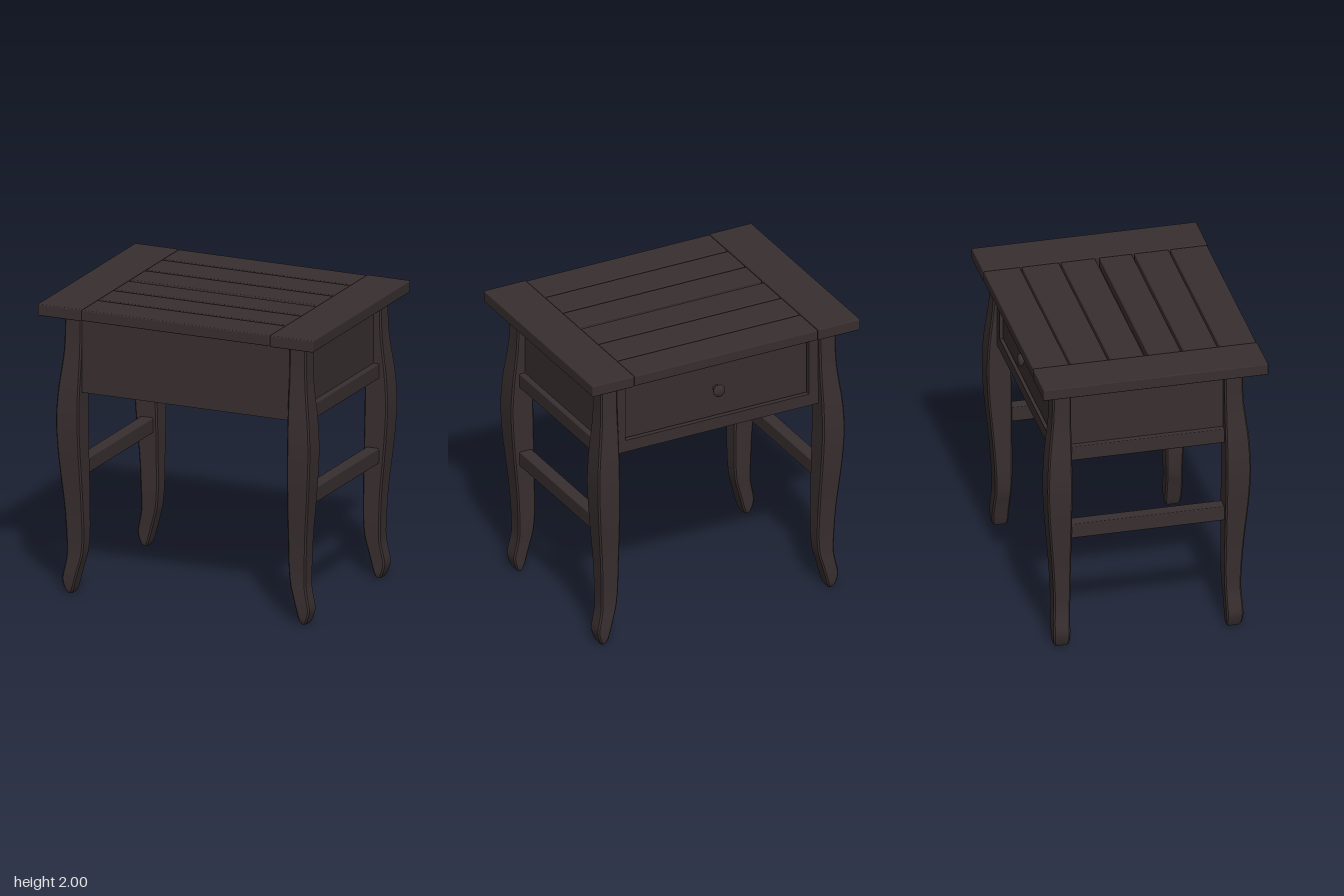
import * as THREE from 'three';
import { toCreasedNormals } from 'three/addons/utils/BufferGeometryUtils.js';
import { RoundedBoxGeometry } from 'three/addons/geometries/RoundedBoxGeometry.js';

const wood = new THREE.MeshStandardMaterial({ color: 0x382e2f });
wood.name = 'darkStainedWood';

// The leg frame sits slightly off the centre of the top.
const CX = 0.008, CZ = -0.025;

// Leg profile rows: height, inner x, outer x, inner z, outer z (from frame centre).
const LEG = [
  [1.92, 0.750, 0.872, 0.518, 0.640],
  [1.70, 0.750, 0.875, 0.518, 0.645],
  [1.55, 0.750, 0.888, 0.518, 0.660],
  [1.40, 0.752, 0.906, 0.518, 0.676],
  [1.20, 0.752, 0.917, 0.518, 0.685],
  [1.00, 0.748, 0.909, 0.518, 0.679],
  [0.80, 0.743, 0.893, 0.518, 0.663],
  [0.60, 0.740, 0.875, 0.518, 0.646],
  [0.40, 0.739, 0.866, 0.518, 0.634],
  [0.27, 0.750, 0.864, 0.522, 0.632],
  [0.19, 0.771, 0.876, 0.525, 0.637],
  [0.10, 0.795, 0.893, 0.527, 0.640],
  [0.03, 0.814, 0.876, 0.528, 0.636],
  [0.00, 0.826, 0.862, 0.536, 0.624],
];

function legGeometry(sx, sz) {
  const columns = [1, 2, 3, 4].map(
    (c) => new THREE.SplineCurve(LEG.map((r) => new THREE.Vector2(r[c], r[0]))));
  const steps = 39, chamfer = 0.01, pos = [], index = [];
  for (let i = 0; i <= steps; i++) {
    const p = columns.map((c) => c.getPoint(i / steps));
    const y = Math.max(0, p[0].y);
    const [x0, x1, z0, z1] = p.map((v) => v.x);
    const c = chamfer;
    // Square section with cut corners
    const ring = [[x0 + c, z0], [x1 - c, z0], [x1, z0 + c], [x1, z1 - c],
      [x1 - c, z1], [x0 + c, z1], [x0, z1 - c], [x0, z0 + c]];
    for (const [x, z] of ring) pos.push(CX + sx * x, y, CZ + sz * z);
  }
  const face = (a, b, c) => (sx * sz > 0 ? index.push(a, b, c) : index.push(a, c, b));
  for (let i = 0; i < steps; i++) {
    for (let j = 0; j < 8; j++) {
      const a = i * 8 + j, b = i * 8 + (j + 1) % 8;
      face(a, b, a + 8);
      face(b, b + 8, a + 8);
    }
  }
  // End caps
  const last = steps * 8;
  for (let j = 1; j < 7; j++) {
    face(0, j + 1, j);
    face(last, last + j, last + j + 1);
  }
  const geo = new THREE.BufferGeometry();
  geo.setAttribute('position', new THREE.Float32BufferAttribute(pos, 3));
  geo.setIndex(index);
  return toCreasedNormals(geo, 0.4);
}

export function createModel() {
  const model = new THREE.Group();
  model.name = 'endTable';

  const add = (name, geometry) => {
    const mesh = new THREE.Mesh(geometry, wood);
    mesh.name = name;
    model.add(mesh);
    return mesh;
  };
  // Box given by its limits, with an optional eased edge
  const box = (name, x0, x1, y0, y1, z0, z1, r = 0) => {
    const size = [x1 - x0, y1 - y0, z1 - z0];
    const geo = r ? new RoundedBoxGeometry(...size, 2, r) : new THREE.BoxGeometry(...size);
    add(name, geo).position.set((x0 + x1) / 2, (y0 + y1) / 2, (z0 + z1) / 2);
  };

  // Table top: two end boards and six slats
  box('rightEndBoard', -0.995, -0.685, 1.92, 2, -0.76, 0.755, 0.008);
  box('leftEndBoard', 0.682, 0.995, 1.92, 2, -0.76, 0.755, 0.008);
  const slats = [[-0.757, -0.512], [-0.5, -0.249], [-0.236, -0.006],
    [0.022, 0.242], [0.258, 0.489], [0.502, 0.75]];
  for (const [z0, z1] of slats) box('topSlat', -0.681, 0.677, 1.922, 1.997, z0, z1, 0.008);

  // Legs
  for (const sx of [1, -1]) {
    for (const sz of [1, -1]) add(sz > 0 ? 'frontLeg' : 'backLeg', legGeometry(sx, sz));
  }

  // Side panels, lower side rails and stretchers
  for (const s of [1, -1]) {
    const side = (name, a, b, y0, y1, r) => {
      const [x0, x1] = [CX + s * a, CX + s * b].sort((p, q) => p - q);
      box(name, x0, x1, y0, y1, -0.545, 0.495, r);
    };
    side('sidePanel', 0.78, 0.82, 1.385, 1.912);
    side('sideRail', 0.78, 0.86, 1.37, 1.472, 0.006);
    side('sideStretcher', 0.77, 0.86, 0.79, 0.893, 0.006);
  }

  // Front panel and case bottom
  box('frontPanel', -0.742, 0.76, 1.385, 1.92, 0.56, 0.605);
  box('caseBottom', -0.775, 0.79, 1.387, 1.41, -0.6, 0.56);

  // Drawer frame
  const frame = new THREE.Shape([[-0.76, 1.385], [0.76, 1.385], [0.76, 1.918], [-0.76, 1.918]]
    .map((p) => new THREE.Vector2(...p)));
  frame.holes.push(new THREE.Path([[-0.68, 1.47], [-0.68, 1.86], [0.68, 1.86], [0.68, 1.47]]
    .map((p) => new THREE.Vector2(...p))));
  add('drawerFrame', new THREE.ExtrudeGeometry(frame, { depth: 0.06, bevelEnabled: false }))
    .position.set(CX, 0, -0.645);

  // Drawer front, set back in the frame
  box('drawerFront', CX - 0.672, CX + 0.672, 1.478, 1.852, -0.625, -0.59);
  box('drawerBacking', CX - 0.7, CX + 0.7, 1.44, 1.9, -0.595, -0.58);

  // Turned knob
  const profile = [[0, 0], [0.026, 0], [0.018, 0.02], [0.02, 0.032], [0.038, 0.042],
    [0.044, 0.054], [0.038, 0.066], [0.02, 0.073], [0, 0.075]].map((p) => new THREE.Vector2(...p));
  const knob = add('drawerKnob', new THREE.LatheGeometry(profile, 20));
  knob.rotation.x = -Math.PI / 2;
  knob.position.set(CX, 1.68, -0.618);

  return model;
}
